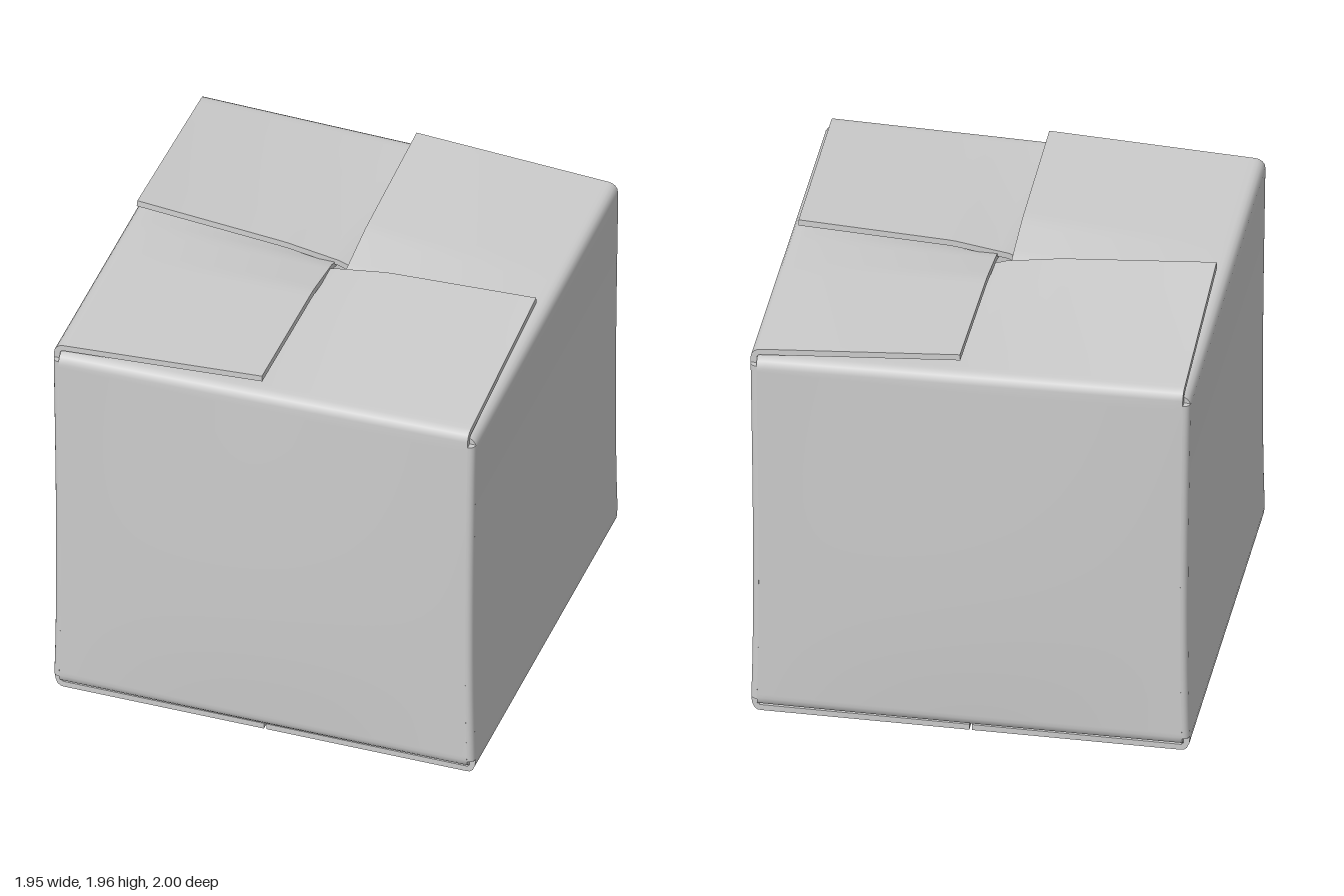
import * as THREE from 'three';

const THICK = 0.028, ROUND = 0.03, HALF = 0.975;
const lerp = THREE.MathUtils.lerp;
const material = new THREE.MeshStandardMaterial({ color: 0xcccccc });

// Sides in order front, right, back, left (each turned 90 degrees about y)
const SIDES = [
  { name: 'front', rise: 0.06, tip: 0.02 },
  { name: 'right', rise: 0.06, tip: 0.05 },
  { name: 'back', rise: 0.085, tip: 0.04 },
  { name: 'left', rise: 0.05, tip: 0.02 },
];

// Thick cardboard sheet: a smooth outer grid, an inner copy and a flat rim
function sheet(nu, nv, point) {
  const pos = [], idx = [], cols = nu + 1;
  for (let j = 0; j <= nv; j++)
    for (let i = 0; i <= nu; i++) pos.push(...point(i / nu, j));
  for (let j = 0; j < nv; j++)
    for (let i = 0; i < nu; i++) {
      const a = j * cols + i, b = a + cols;
      idx.push(a, a + 1, b + 1, a, b + 1, b);
    }
  const outer = new THREE.BufferGeometry();
  outer.setAttribute('position', new THREE.Float32BufferAttribute(pos, 3));
  outer.setIndex([...idx]);
  outer.computeVertexNormals();
  const nor = outer.attributes.normal.array, count = pos.length / 3;
  for (let k = 0; k < count * 3; k++) pos.push(pos[k] - nor[k] * THICK);
  const outerTris = idx.length;
  for (let k = 0; k < outerTris; k += 3)
    idx.push(idx[k] + count, idx[k + 2] + count, idx[k + 1] + count);

  const loop = [];
  for (let i = 0; i < nu; i++) loop.push(i);
  for (let j = 0; j < nv; j++) loop.push(j * cols + nu);
  for (let i = nu; i > 0; i--) loop.push(nv * cols + i);
  for (let j = nv; j > 0; j--) loop.push(j * cols);
  loop.forEach((p, k) => {
    const q = loop[(k + 1) % loop.length], s = pos.length / 3;
    for (const v of [p, p + count, q + count, q])
      pos.push(pos[v * 3], pos[v * 3 + 1], pos[v * 3 + 2]);
    idx.push(s, s + 1, s + 2, s, s + 2, s + 3);
  });

  const geo = new THREE.BufferGeometry();
  geo.setAttribute('position', new THREE.Float32BufferAttribute(pos, 3));
  geo.setIndex(idx);
  geo.computeVertexNormals();
  return geo;
}

// Wall distance from the centre: front and back bulge, the sides pinch in
function wallOut(k, w, y) {
  const t = Math.pow(THREE.MathUtils.clamp(y / 1.86, 0, 1), 0.7);
  const swell = Math.sin(Math.PI * t);
  if (k % 2) return HALF - 0.012 * swell;
  return HALF + 0.024 * swell * Math.cos((Math.PI / 2) * Math.min(1, Math.abs(w) / 0.945));
}

// Lift of a top flap's tip: free half rises, other half tucks under its neighbour
function tipRise(w, rise) {
  if (w > 0.25) return lerp(0.042, rise, (w - 0.25) / 0.7);
  if (w > 0) return lerp(0.008, 0.042, w / 0.25);
  return lerp(0.008, -0.03, Math.min(1, -w / 0.12));
}

// One wall with its bottom flap, both folds and its top flap
function panel(k) {
  const { rise, tip } = SIDES[k];
  const floor = k % 2 ? 0 : 0.036;
  const rows = [];
  const add = (f) => rows.push(f);

  // bottom flap
  for (const o of [0.006, 0.3, 0.6, 0.85, 0.925]) add(() => [o, floor]);
  // bottom fold
  const foldH = k % 2 ? 0.07 : 0.045;
  for (const a of [0.15, 0.4, 0.7, 1]) {
    const t = (a * Math.PI) / 2;
    add((w) => {
      const y = floor + foldH * (1 - Math.cos(t));
      return [lerp(0.935, wallOut(k, w, y), Math.sin(t)), y];
    });
  }
  // wall
  for (let i = 0; i <= 10; i++) {
    const y = lerp(0.1, 1.77, i / 10);
    add((w) => [wallOut(k, w, y), y]);
  }
  // top fold, with the crease sloping down toward the tucked end
  const crease = (w) => 1.852 + 0.02 * w;
  for (const a of [0, 0.25, 0.5, 0.75, 1]) {
    const t = (a * Math.PI) / 2;
    add((w) => {
      const y = crease(w) - 0.045 * (1 - Math.sin(t));
      return [wallOut(k, w, y) - 0.045 * (1 - Math.cos(t)), y];
    });
  }
  // top flap
  for (const s of [0.03, 0.2, 0.4, 0.6, 0.8, 1])
    add((w) => [lerp(0.93, tip, s), crease(w) + s * tipRise(w, rise), s]);

  return sheet(48, rows.length - 1, (u, j) => {
    const f = rows[j], w0 = lerp(-0.945, 0.945, u);
    const [out, y, s = 0] = f(w0);
    const width = (wallOut(k + 1, 0.945, y) - ROUND) / 0.945;
    return [w0 * width * (1 - 0.015 * s), y, out];
  });
}

// Rounded upright edge joining a wall to the next one
function corner(k) {
  return sheet(5, 10, (u, j) => {
    const y = lerp(0.075, 1.8, j / 10), a = (u * Math.PI) / 2;
    const cx = wallOut(k + 1, 0.945, y) - ROUND;
    const cz = wallOut(k, 0.945, y) - ROUND;
    return [cx + ROUND * Math.sin(a), y, cz + ROUND * Math.cos(a)];
  });
}

export function createModel() {
  const box = new THREE.Group();
  box.name = 'cardboardBox';
  SIDES.forEach(({ name }, k) => {
    const side = new THREE.Group();
    side.name = name + 'Side';
    side.rotation.y = (k * Math.PI) / 2;
    const wall = new THREE.Mesh(panel(k), material);
    wall.name = name + 'WallAndFlaps';
    const edge = new THREE.Mesh(corner(k), material);
    edge.name = name + 'CornerEdge';
    side.add(wall, edge);
    box.add(side);
  });
  return box;
}
